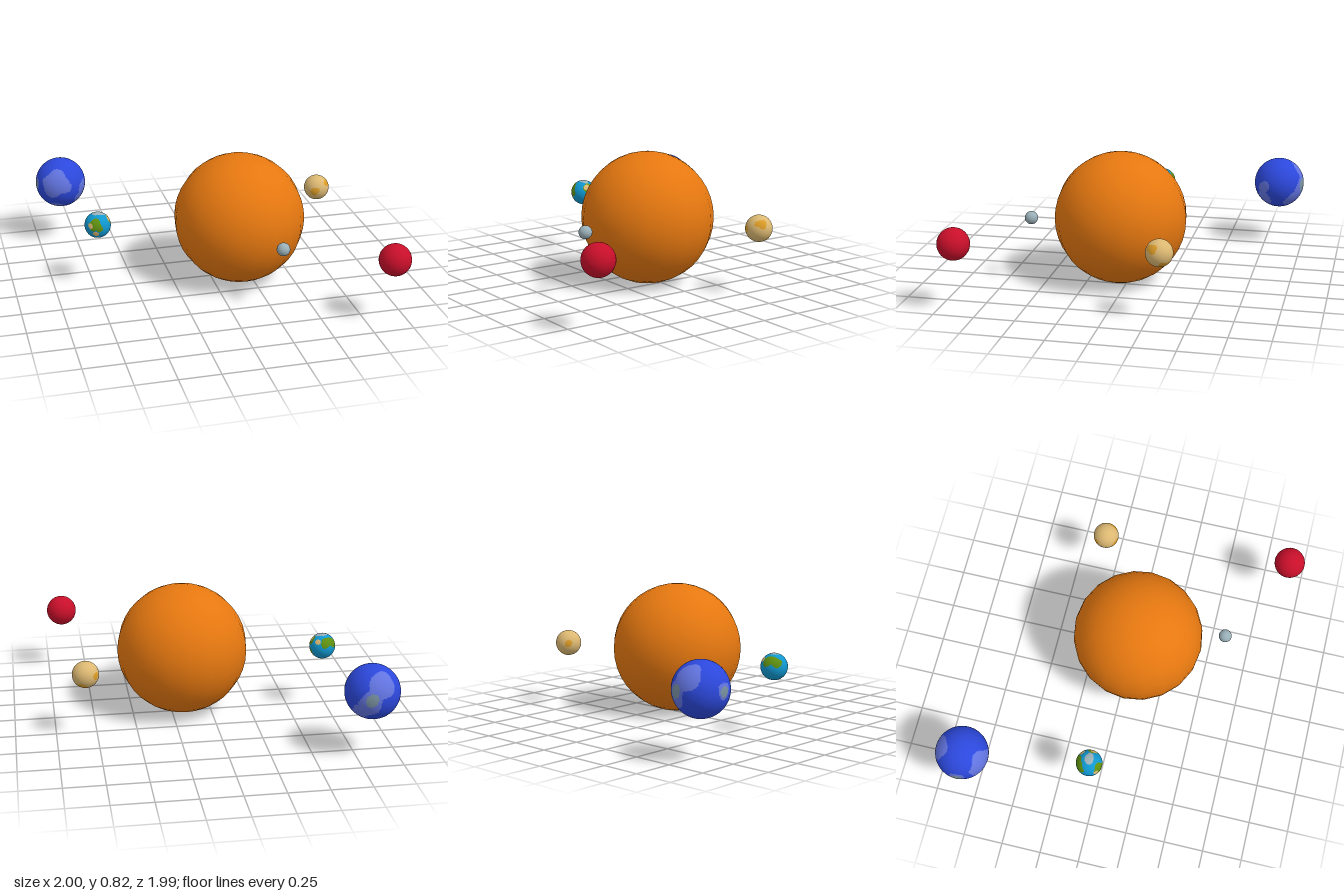
import * as THREE from 'three';

const mat = (name, color) => {
  const m = new THREE.MeshStandardMaterial({ color });
  m.name = name;
  return m;
};

export function createModel() {
  const colours = {
    sun: mat('sunOrange', 0xe67810),
    red: mat('crimson', 0xc80f2a),
    grey: mat('paleGrey', 0x9ab0b8),
    sand: mat('sand', 0xdcb872),
    amber: mat('amber', 0xdc9c28),
    sea: mat('seaBlue', 0x1098d0),
    land: mat('landGreen', 0x5f9010),
    blue: mat('deepBlue', 0x2c48dc),
    light: mat('lightBlue', 0x6274e0),
    teal: mat('greyTeal', 0x7890a0),
  };
  const group = new THREE.Group();

  // Plain ball, or a ball whose faces are sorted into coloured patches.
  // Each patch is [colour, x, y, z, angular radius]; later patches lie on top.
  function planet(name, base, x, y, z, radius, patches = [], segs = 32) {
    const fine = patches.length > 0;
    const geo = new THREE.SphereGeometry(radius, fine ? 96 : segs, fine ? 72 : segs);
    const names = [base, ...new Set(patches.map(p => p[0]))];
    if (fine) {
      const blobs = patches.map(([c, px, py, pz, size]) => ({
        slot: names.indexOf(c), dir: new THREE.Vector3(px, py, pz).normalize(), size,
      }));
      const buckets = names.map(() => []);
      const pos = geo.attributes.position, index = geo.index.array;
      const mid = new THREE.Vector3(), v = new THREE.Vector3();
      for (let i = 0; i < index.length; i += 3) {
        mid.set(0, 0, 0);
        for (let k = 0; k < 3; k++) mid.add(v.fromBufferAttribute(pos, index[i + k]));
        mid.normalize();
        // Slight wobble gives the patches uneven coastlines
        const wobble = 1 + 0.14 * Math.sin(7 * mid.x + 4 * mid.y) + 0.1 * Math.sin(9 * mid.z - 6 * mid.y);
        let slot = 0;
        for (const b of blobs) if (mid.angleTo(b.dir) < b.size * wobble) slot = b.slot;
        buckets[slot].push(index[i], index[i + 1], index[i + 2]);
      }
      geo.setIndex(buckets.flat());
      let start = 0;
      buckets.forEach((b, slot) => {
        geo.addGroup(start, b.length, slot);
        start += b.length;
      });
    }
    const mesh = new THREE.Mesh(geo, fine ? names.map(n => colours[n]) : colours[base]);
    mesh.name = name;
    mesh.position.set(x, y, z);
    group.add(mesh);
  }

  // Central star, coarser than the planets
  planet('sun', 'sun', 0.175, 0.42, 0.048, 0.412, [], 20);

  // Plain planets
  planet('smallGreyPlanet', 'grey', 0.303, 0.42, 0.59, 0.041);
  planet('redPlanet', 'red', 0.9, 0.42, 0.892, 0.098);

  // Sandy planet with amber bands
  planet('sandyPlanet', 'sand', 0.812, 0.42, -0.318, 0.082, [
    ['amber', -0.4, 0, 0.9, 0.35],
    ['amber', 0.8, 0.5, 0.4, 0.34],
    ['amber', 0.6, 0.5, 0.7, 0.25],
    ['amber', -0.71, 0.1, -0.68, 0.28],
    ['amber', 0.26, -0.79, -0.57, 0.38],
    ['amber', 0.65, -0.6, -0.35, 0.25],
  ]);

  // Ocean planet with land, sand and polar ice
  planet('oceanPlanet', 'sea', -0.715, 0.42, -0.052, 0.082, [
    ['land', -0.35, 0.35, 0.85, 0.45],
    ['land', -0.05, 0.0, 1, 0.25],
    ['land', -0.6, 0.5, -0.6, 0.42],
    ['land', -0.1, 0.5, -0.85, 0.4],
    ['land', 0.85, 0.5, 0.1, 0.35],
    ['land', 0.92, -0.39, -0.1, 0.35],
    ['sand', -0.25, -0.4, 0.9, 0.25],
    ['sand', -0.65, 0.25, 0.7, 0.2],
    ['sand', 0.5, 0.55, -0.65, 0.24],
    ['sand', 0.8, 0.55, 0.2, 0.22],
    ['grey', 0.1, 1, 0, 0.42],
    ['grey', 0, -1, 0, 0.35],
  ]);

  // Large blue planet with pale continents and grey spots
  planet('largeBluePlanet', 'blue', -0.835, 0.42, -0.833, 0.165, [
    ['light', -0.3, 0.25, 0.9, 0.55],
    ['light', -0.15, 0.52, -0.82, 0.55],
    ['light', 0.3, -0.1, -0.9, 0.5],
    ['light', 0.6, -0.5, -0.6, 0.35],
    ['light', 0.78, -0.05, 0.55, 0.28],
    ['light', 0.7, -0.45, 0.5, 0.32],
    ['light', -0.2, -0.85, 0.5, 0.3],
    ['light', -0.95, 0.02, 0.05, 0.3],
    ['teal', 0.27, 0.01, -0.96, 0.24],
    ['teal', -0.99, 0.02, 0.05, 0.2],
  ]);

  return group;
}
